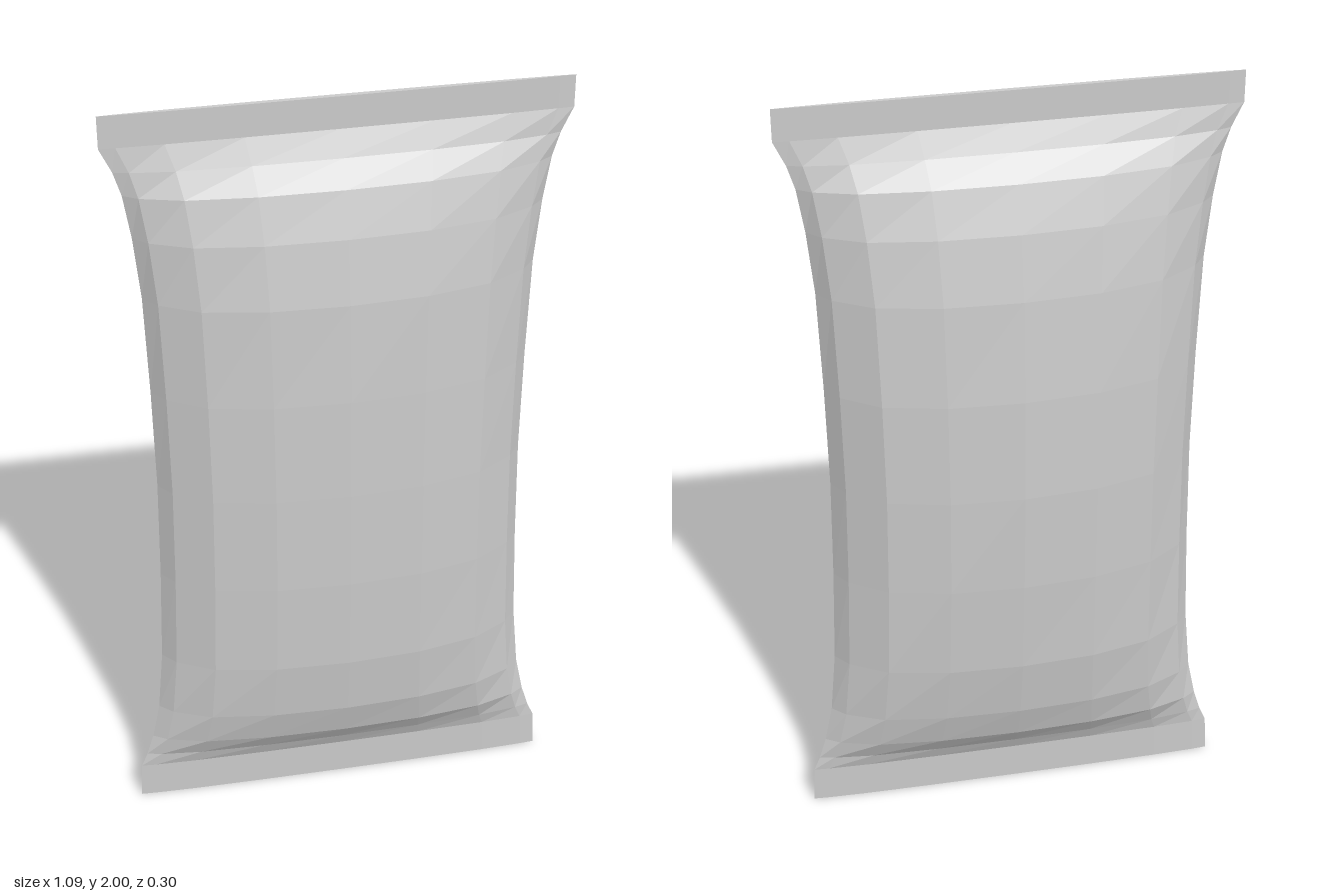
import * as THREE from 'three';

const SEAM_Z = 0.011;
// Column positions across the bag (fraction of half width, fraction of bulge)
const COLUMNS = [[1, 0], [0.93, 0.3], [0.73, 0.7], [0.4, 0.93], [0, 1],
  [-0.4, 0.93], [-0.73, 0.7], [-0.93, 0.3], [-1, 0]];

// Rows: [height, half width, front bulge, back bulge]
const BOTTOM_SEAL = [[0, 0.54, 0.008, 0.008], [0.1, 0.535, 0.01, 0.01]];
const TOP_SEAL = [[1.92, 0.543, 0.006, 0.006], [2, 0.543, 0.006, 0.006]];
const POUCH = [
  BOTTOM_SEAL[1],
  [0.14, 0.518, 0.03, 0.03],
  [0.2, 0.5, 0.072, 0.074],
  [0.3, 0.48, 0.104, 0.108],
  [0.47, 0.465, 0.126, 0.138],
  [0.73, 0.457, 0.136, 0.155],
  [1, 0.453, 0.139, 0.163],
  [1.27, 0.457, 0.136, 0.158],
  [1.53, 0.465, 0.127, 0.14],
  [1.69, 0.48, 0.104, 0.112],
  [1.8, 0.497, 0.072, 0.076],
  [1.86, 0.515, 0.033, 0.034],
  TOP_SEAL[0],
];

// Skin a stack of closed cross-sections, optionally closing either end
function skin(name, rows, material, capBottom, capTop) {
  const n = COLUMNS.length;
  const loop = 2 * n - 2;
  const positions = [];
  const index = [];
  for (const [y, halfWidth, front, back] of rows) {
    for (const [u, d] of COLUMNS) positions.push(u * halfWidth, y, SEAM_Z + d * front);
    for (const [u, d] of COLUMNS.slice(1, -1).reverse()) positions.push(u * halfWidth, y, SEAM_Z - d * back);
  }
  for (let r = 0; r < rows.length - 1; r++) {
    for (let i = 0; i < loop; i++) {
      const a = r * loop + i;
      const b = r * loop + (i + 1) % loop;
      index.push(a, a + loop, b, b, a + loop, b + loop);
    }
  }
  // End caps join each front edge with the back edge behind it
  const cap = (start, up) => {
    for (let i = 0; i < n - 1; i++) {
      const f0 = start + i, f1 = start + i + 1;
      const b0 = start + (loop - i) % loop, b1 = start + loop - i - 1;
      const tris = [[f0, b0, f1], [f1, b0, b1]];
      for (const [p, q, s] of tris) {
        if (p === q || q === s || p === s) continue;
        if (up) index.push(p, q, s);
        else index.push(p, s, q);
      }
    }
  };
  if (capBottom) cap(0, false);
  if (capTop) cap((rows.length - 1) * loop, true);

  const geometry = new THREE.BufferGeometry();
  geometry.setAttribute('position', new THREE.Float32BufferAttribute(positions, 3));
  geometry.setIndex(index);
  geometry.computeVertexNormals();
  const mesh = new THREE.Mesh(geometry, material);
  mesh.name = name;
  return mesh;
}

export function createModel() {
  const material = new THREE.MeshStandardMaterial({
    color: 0xcccccc, flatShading: true, side: THREE.DoubleSide,
  });
  const bag = new THREE.Group();
  bag.name = 'pillowBag';
  bag.add(
    skin('bottomSeal', BOTTOM_SEAL, material, true, false),
    skin('pouch', POUCH, material, false, false),
    skin('topSeal', TOP_SEAL, material, false, true),
  );
  return bag;
}
